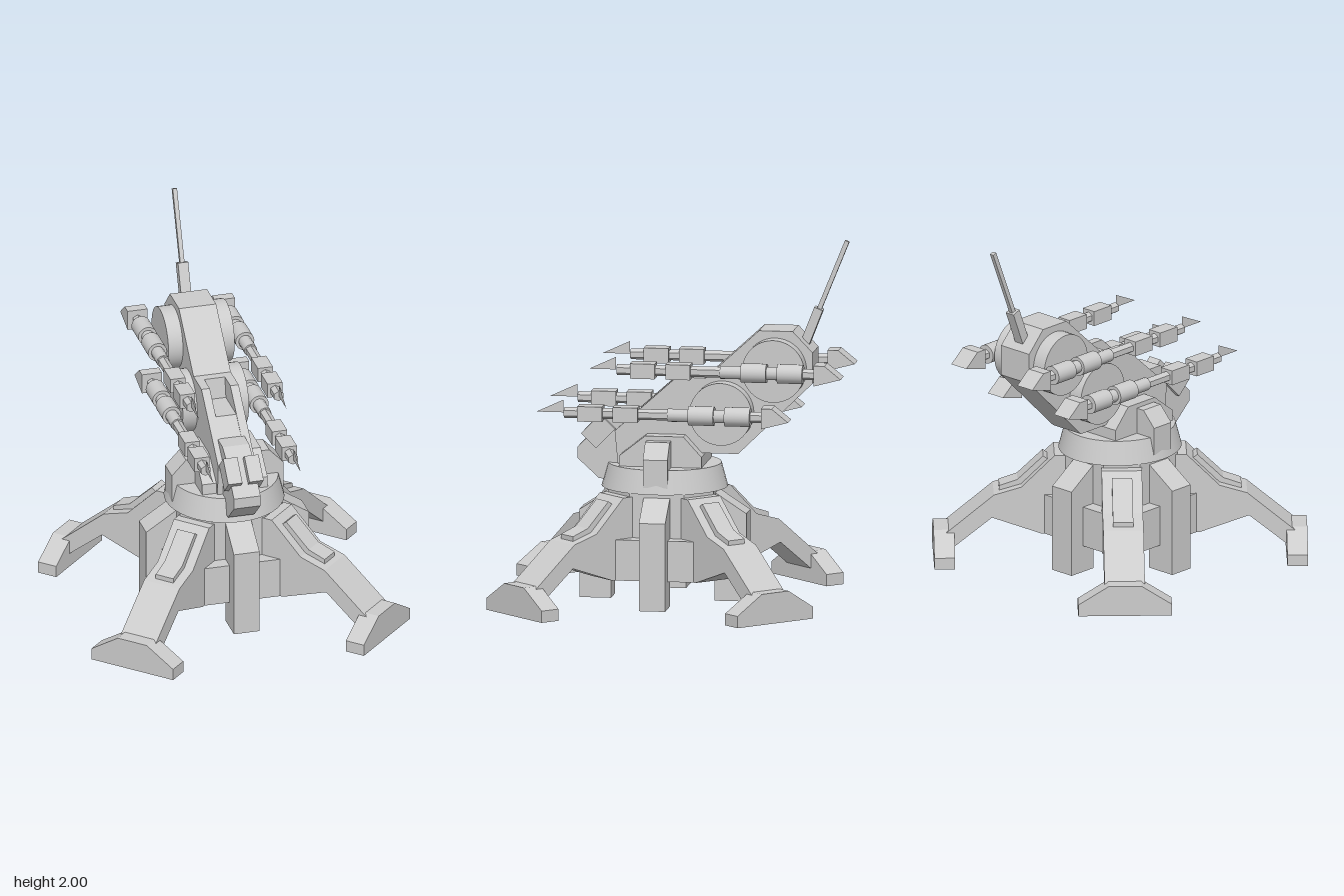
import * as THREE from 'three';

const material = new THREE.MeshStandardMaterial({ color: 0xcccccc, flatShading: true });
const smooth = new THREE.MeshStandardMaterial({ color: 0xcccccc });
const thin = new THREE.MeshStandardMaterial({ color: 0xcccccc, side: THREE.DoubleSide });

const shapeOf = (pts) => new THREE.Shape(pts.map(([a, b]) => new THREE.Vector2(a, b)));

function add(parent, name, geometry, x = 0, y = 0, z = 0, mat = material) {
  const mesh = new THREE.Mesh(geometry, mat);
  mesh.name = name;
  mesh.position.set(x, y, z);
  parent.add(mesh);
  return mesh;
}

// Plain extrusion of a profile, centred on its depth
function prism(pts, depth) {
  const g = new THREE.ExtrudeGeometry(shapeOf(pts), { depth, bevelEnabled: false });
  return g.translate(0, 0, -depth / 2);
}

// Side profile of [z, y] points, given a width along x
const slab = (pts, width) => prism(pts, width).rotateY(-Math.PI / 2);

// Octagonal column: a = half width, c = half length of the straight sides
function octagon(a, c, y0, y1) {
  const pts = [[a, -c], [a, c], [c, a], [-c, a], [-a, c], [-a, -c], [-c, -a], [c, -a]];
  return prism(pts, y1 - y0).rotateX(-Math.PI / 2).translate(0, (y0 + y1) / 2, 0);
}

// Box between two [z, y] points in the plane x = 0
function strut(parent, name, [z0, y0], [z1, y1], w, d) {
  const m = add(parent, name, new THREE.BoxGeometry(w, Math.hypot(z1 - z0, y1 - y0), d),
    0, (y0 + y1) / 2, (z0 + z1) / 2);
  m.rotation.x = Math.atan2(z1 - z0, y1 - y0);
  return m;
}

function makeLeg() {
  const leg = new THREE.Group();
  leg.name = 'leg';
  add(leg, 'legBeam', slab([[0.2, 0.15], [0.43, 0.15], [0.7, 0.245], [0.94, 0.05], [0.96, 0.15],
    [0.935, 0.17], [0.69, 0.375], [0.54, 0.42], [0.36, 0.6], [0.2, 0.6]], 0.22));
  add(leg, 'legPanel', slab([[0.38, 0.55], [0.42, 0.58], [0.56, 0.445], [0.66, 0.41], [0.66, 0.37],
    [0.5, 0.4]], 0.11));
  add(leg, 'foot', prism([[-0.255, 0], [0.255, 0], [0.255, 0.065], [0.09, 0.17], [-0.09, 0.17],
    [-0.255, 0.065]], 0.113), 0, 0, 0.961);
  return leg;
}

function makeBase() {
  const base = new THREE.Group();
  base.name = 'base';
  base.position.z = 0.06;
  add(base, 'lowerBody', octagon(0.37, 0.24, 0.15, 0.375));
  add(base, 'upperBody', octagon(0.29, 0.15, 0.375, 0.63));
  for (let i = 0; i < 4; i++) {
    const leg = makeLeg();
    leg.rotation.y = Math.PI / 4 + i * Math.PI / 2;
    base.add(leg);
    const pillar = add(base, 'pillar', slab([[0.285, 0], [0.46, 0], [0.46, 0.485], [0.33, 0.57],
      [0.285, 0.6]], 0.145));
    pillar.rotation.y = i * Math.PI / 2;
  }
  // Tapered turning ring
  add(base, 'ring', new THREE.CylinderGeometry(0.31, 0.345, 0.13, 40), 0, 0.685, 0, smooth)
    .scale.x = 0.95;
  return base;
}

// Missile running along z, nose at the back, local origin at its drum
function makeMissile() {
  const missile = new THREE.Group();
  missile.name = 'missile';
  const rod = (name, r, z0, z1, sides, mat) => add(missile, name,
    new THREE.CylinderGeometry(r, r, z1 - z0, sides).rotateX(Math.PI / 2), 0, 0, (z0 + z1) / 2, mat);
  rod('shaft', 0.03, -0.25, 0.855, 6);
  for (const z of [0.71, 0.515]) {
    add(missile, 'collar', new THREE.BoxGeometry(0.085, 0.083, 0.136), 0, 0, z);
  }
  for (const z of [0.1, -0.1]) rod('clamp', 0.053, z - 0.07, z + 0.07, 20, smooth);
  rod('sleeve', 0.036, -0.03, 0.285, 12, smooth);
  add(missile, 'nose', slab([[-0.235, -0.055], [-0.235, 0.058], [-0.295, 0.058], [-0.385, -0.015]], 0.112));
  add(missile, 'fin', new THREE.ShapeGeometry(shapeOf([[0.86, 0], [1.01, 0], [0.86, 0.07]]))
    .rotateY(-Math.PI / 2), 0, 0, 0, thin);
  return missile;
}

function makeTurret() {
  const turret = new THREE.Group();
  turret.name = 'turret';

  // Mount between ring and beam
  add(turret, 'mount', slab([[0.285, 0.72], [0.28, 0.81], [0.14, 0.92], [-0.07, 0.92], [-0.17, 0.81],
    [-0.17, 0.72]], 0.37));
  for (const s of [1, -1]) {
    add(turret, 'mountBracket', prism([[s * 0.15, 0.655], [s * 0.315, 0.655], [s * 0.315, 0.81],
      [s * 0.235, 0.895], [s * 0.15, 0.895]], 0.135), 0, 0, 0.065);
  }

  // Leaning beam, with a recess along the middle of its front slope
  const tail = [[-0.18, 1.235], [-0.475, 1.505], [-0.66, 1.505], [-0.77, 1.39], [-0.77, 1.22],
    [-0.36, 0.82], [-0.1, 0.82], [0, 0.72], [0.3, 0.72], [0.32, 0.93]];
  add(turret, 'beamCentre', slab([...tail, [0.1, 1.12], [-0.11, 1.12], [-0.13, 1.235]], 0.116));
  for (const s of [1, -1]) {
    add(turret, 'beamSide', slab([...tail, [-0.02, 1.235]], 0.047), s * 0.0815);
  }

  // Head with a pair of slanted plates
  add(turret, 'head', slab([[0.53, 0.77], [0.53, 0.83], [0.36, 1], [0.3, 1.035], [0.16, 1.035],
    [0.16, 0.75], [0.36, 0.66], [0.41, 0.66]], 0.15));
  for (const s of [1, -1]) {
    strut(turret, 'headPlate', [0.465, 0.87], [0.36, 0.977], 0.08, 0.115).position.x = s * 0.06;
  }

  // Drums, each carrying a missile on either side
  for (const [y, z] of [[1.05, -0.275], [1.295, -0.565]]) {
    add(turret, 'drum', new THREE.CylinderGeometry(0.172, 0.172, 0.374, 40).rotateZ(Math.PI / 2),
      0, y, z, smooth);
    for (const s of [1, -1]) {
      const missile = makeMissile();
      missile.position.set(s * 0.247, y, z - 0.005);
      turret.add(missile);
    }
  }

  // Antenna
  strut(turret, 'antennaSocket', [-0.7, 1.39], [-0.79, 1.62], 0.058, 0.05);
  strut(turret, 'antennaRod', [-0.785, 1.6], [-0.945, 1.995], 0.024, 0.025);
  return turret;
}

export function createModel() {
  const model = new THREE.Group();
  model.name = 'missileTurret';
  model.add(makeBase(), makeTurret());
  return model;
}
